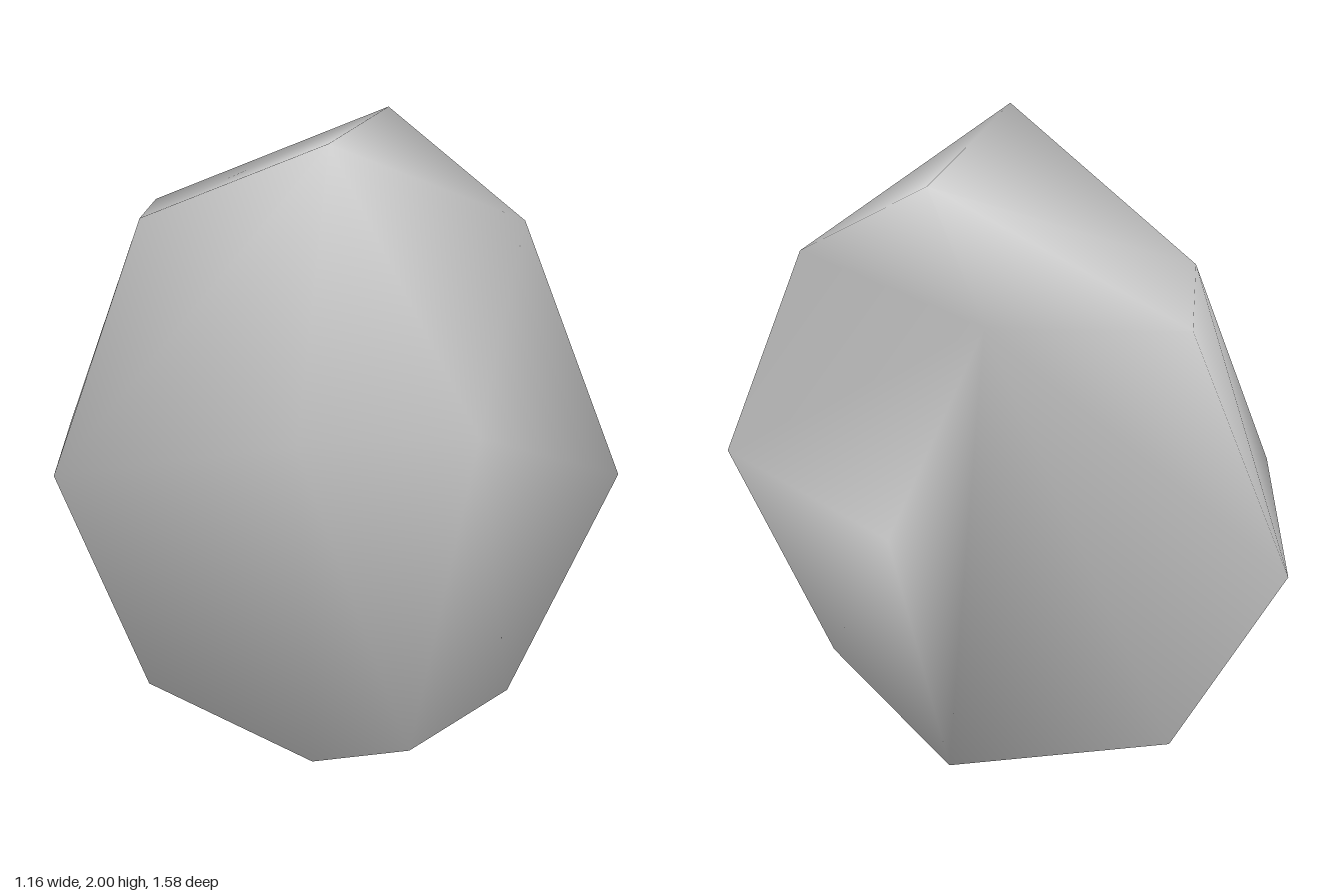
import * as THREE from 'three';

export function createModel() {
  const group = new THREE.Group();
  const stone = new THREE.MeshStandardMaterial({ color: 0xc8c8c8, side: THREE.DoubleSide });
  stone.name = 'stone grey';

  // Horizontal cross-sections of the rounded side, from the back rim to the front rim
  const base = [0.3, 0, 0.08];
  const lower = [[-0.05, 0.3, -0.53], [-0.31, 0.3, -0.3], [-0.32, 0.3, 0.41], [-0.08, 0.3, 0.55], [0.43, 0.3, 0.48]];
  const waist = [[-0.2, 1, -0.79], [-0.58, 1, -0.37], [-0.5, 1.26, 0.53], [-0.11, 1.26, 0.79], [0.58, 1, 0.73]];
  const upper = [[-0.05, 1.71, -0.53], [-0.31, 1.71, -0.29], [-0.25, 1.97, 0.39], [0.43, 1.71, 0.48]];
  const top = [0.3, 2, 0.08];

  // Corners of the hollow in the broken side
  const hollow = [-0.08, 1.34, 0.32];
  const ledge = [0.32, 0.77, 0.31];

  const points = [base, ...lower, ...waist, ...upper, top, hollow, ledge];
  const index = [];
  const tri = (...corners) => index.push(...corners.map((p) => points.indexOf(p)));

  // Rounded side: base fan and band up to the waist
  for (let i = 0; i < 4; i++) {
    tri(base, lower[i + 1], lower[i]);
    tri(lower[i], lower[i + 1], waist[i]);
    tri(lower[i + 1], waist[i + 1], waist[i]);
  }

  // Rounded side: shoulders and crown
  const [back, shoulder, peak, front] = upper;
  tri(waist[0], waist[1], shoulder);
  tri(waist[0], shoulder, back);
  tri(waist[1], peak, shoulder);
  tri(waist[1], waist[2], peak);
  tri(waist[2], waist[3], peak);
  tri(peak, waist[3], front);
  tri(waist[3], waist[4], front);
  for (let i = 0; i < 3; i++) tri(upper[i], upper[i + 1], top);

  // Broken side: one fan around the hollow, one around the ledge
  const fan = (centre, rim) => {
    for (let i = 0; i < rim.length - 1; i++) tri(centre, rim[i], rim[i + 1]);
  };
  fan(hollow, [base, lower[0], waist[0], back, top, front, waist[4], ledge, base]);
  fan(ledge, [waist[4], lower[4], base]);

  // Smooth normals in which every face around a corner counts equally
  const corners = points.map((p) => new THREE.Vector3(...p));
  const normals = points.map(() => new THREE.Vector3());
  for (let i = 0; i < index.length; i += 3) {
    const face = index.slice(i, i + 3);
    const normal = new THREE.Triangle(...face.map((k) => corners[k])).getNormal(new THREE.Vector3());
    face.forEach((k) => normals[k].add(normal));
  }

  const geometry = new THREE.BufferGeometry().setFromPoints(corners);
  const normalData = normals.flatMap((n) => n.normalize().toArray());
  geometry.setAttribute('normal', new THREE.Float32BufferAttribute(normalData, 3));
  geometry.setIndex(index);

  const rock = new THREE.Mesh(geometry, stone);
  rock.name = 'brokenRock';
  group.add(rock);
  return group;
}
